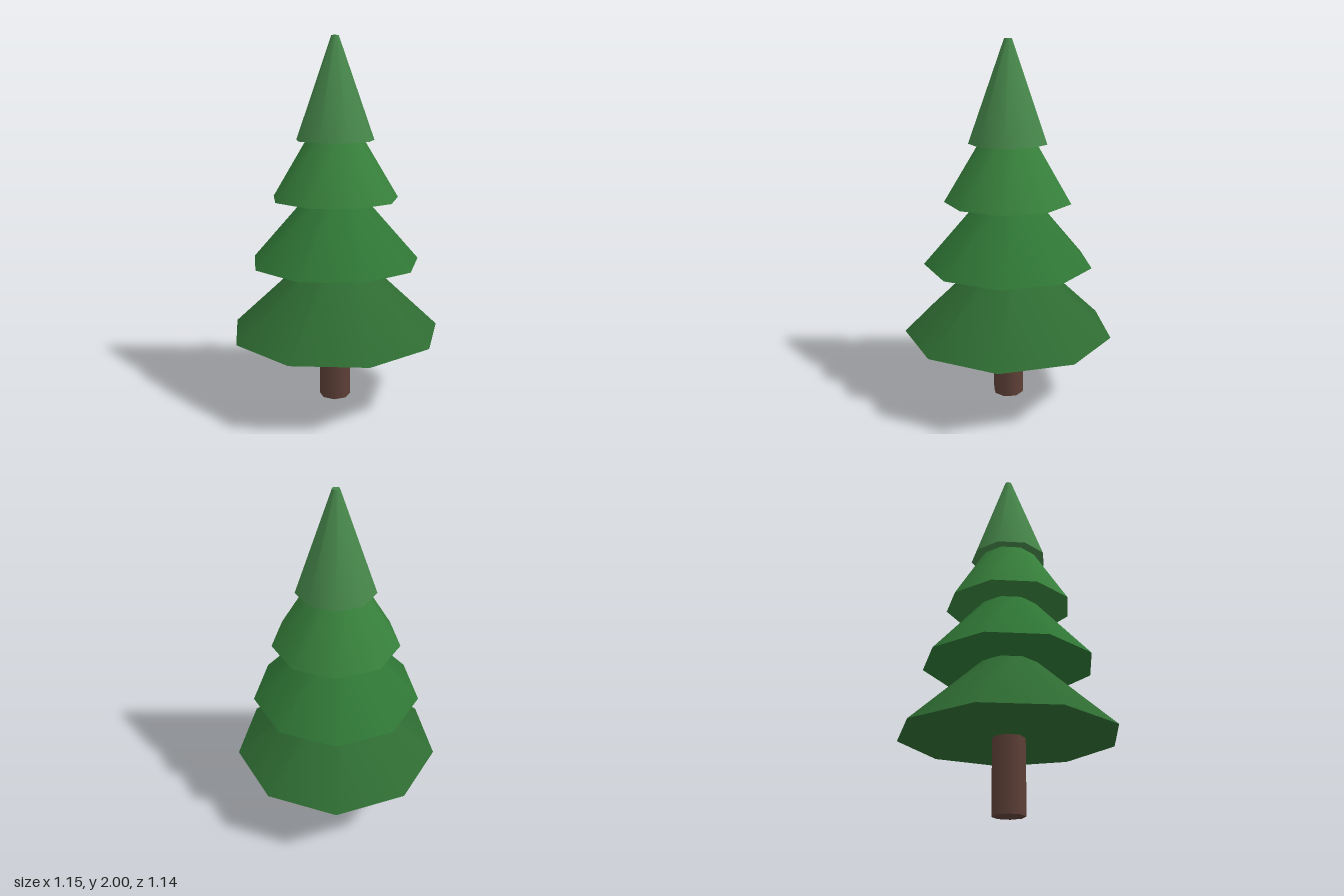
import * as THREE from 'three';

const CENTRE_Z = 0.016;

// Upright smooth-shaded prism or cone frustum, closed at both ends, with a corner facing the back.
function frustum(name, color, bottomRadius, topRadius, y0, y1, sides) {
  const geometry = new THREE.CylinderGeometry(topRadius, bottomRadius, y1 - y0, sides);
  geometry.rotateY(Math.PI);
  const mesh = new THREE.Mesh(geometry, new THREE.MeshStandardMaterial({ color }));
  mesh.name = name;
  mesh.position.set(0, (y0 + y1) / 2, CENTRE_Z);
  return mesh;
}

export function createModel() {
  const tree = new THREE.Group();
  tree.name = 'pineTree';

  // Trunk, reaching a little way into the lowest branches
  tree.add(frustum('trunk', 0x5d4037, 0.087, 0.087, 0, 0.5, 8));

  // Branch tiers from bottom to top: color, bottom radius, top radius, base y, top y
  const tiers = [
    [0x2e6b32, 0.586, 0.115, 0.395, 0.84],
    [0x2f7635, 0.469, 0.12, 0.79, 1.19],
    [0x37803b, 0.35, 0.13, 1.14, 1.505],
    [0x46864a, 0.215, 0.02, 1.455, 2],
  ];
  tiers.forEach(([color, bottom, top, y0, y1], i) => {
    tree.add(frustum(`branchTier${i + 1}`, color, bottom, top, y0, y1, 9));
  });

  return tree;
}
